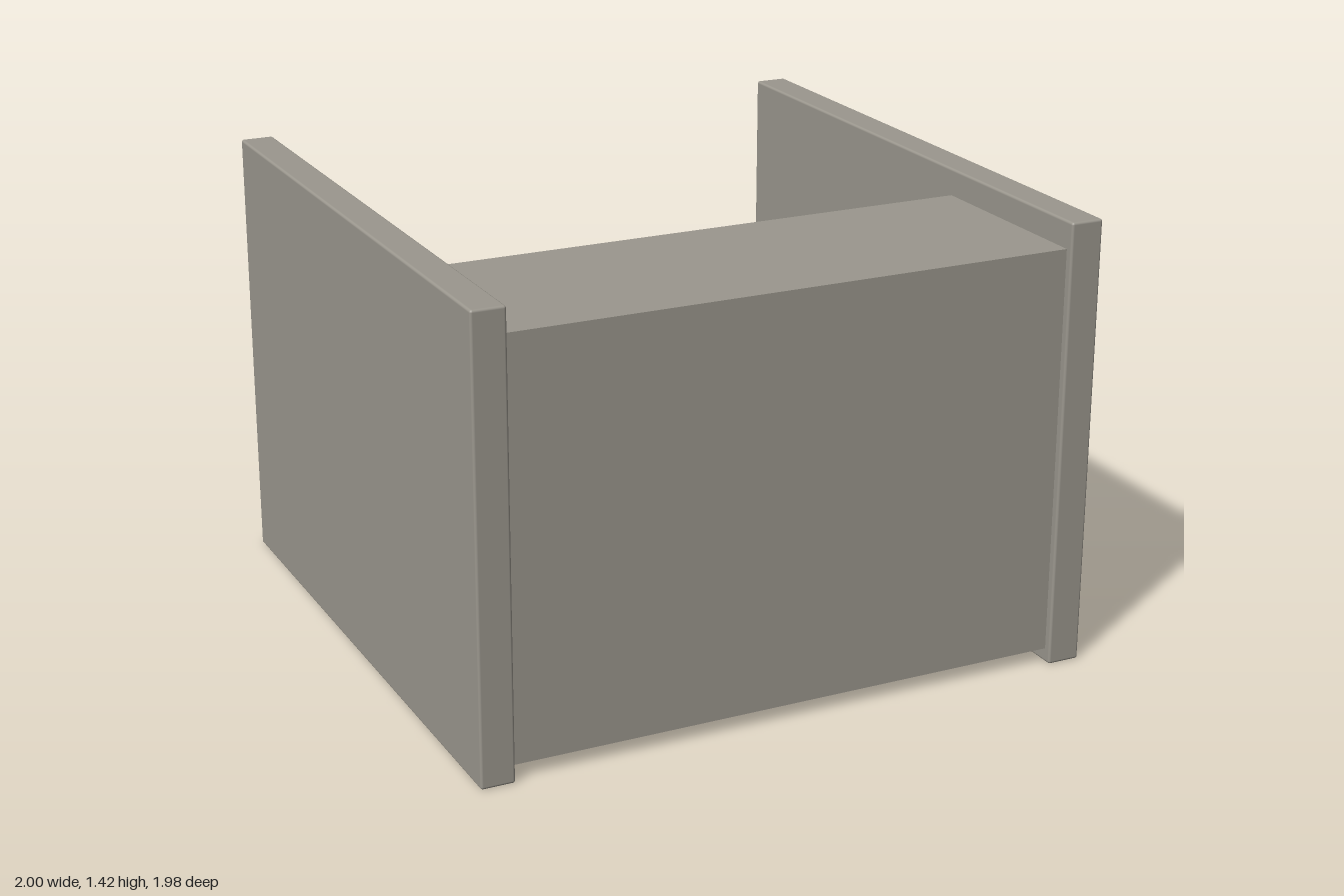
import * as THREE from 'three';
import { RoundedBoxGeometry } from 'three/addons/geometries/RoundedBoxGeometry.js';

export function createModel() {
  const model = new THREE.Group();
  model.name = 'staircase';
  const stone = new THREE.MeshStandardMaterial({ color: 0x9b978e });
  stone.name = 'warmGreyStone';

  const add = (name, geometry, x, y, z) => {
    const mesh = new THREE.Mesh(geometry, stone);
    mesh.name = name;
    mesh.position.set(x, y, z);
    model.add(mesh);
  };

  // Side walls with slightly softened edges
  const wallWidth = 0.106, wallHeight = 1.42, wallDepth = 1.98;
  for (const [name, side] of [['leftWall', 1], ['rightWall', -1]]) {
    add(name, new RoundedBoxGeometry(wallWidth, wallHeight, wallDepth, 2, 0.008),
      side * (1 - wallWidth / 2), wallHeight / 2, 0);
  }

  // Three solid steps, raised off the ground and climbing toward the front
  const base = 0.045, rise = 0.43, run = 0.644;
  const stepWidth = 2 * (1 - wallWidth);
  ['lowerStep', 'middleStep', 'upperStep'].forEach((name, i) => {
    const height = rise * (i + 1);
    add(name, new THREE.BoxGeometry(stepWidth, height, run), 0, base + height / 2, (i - 1) * run);
  });

  return model;
}
